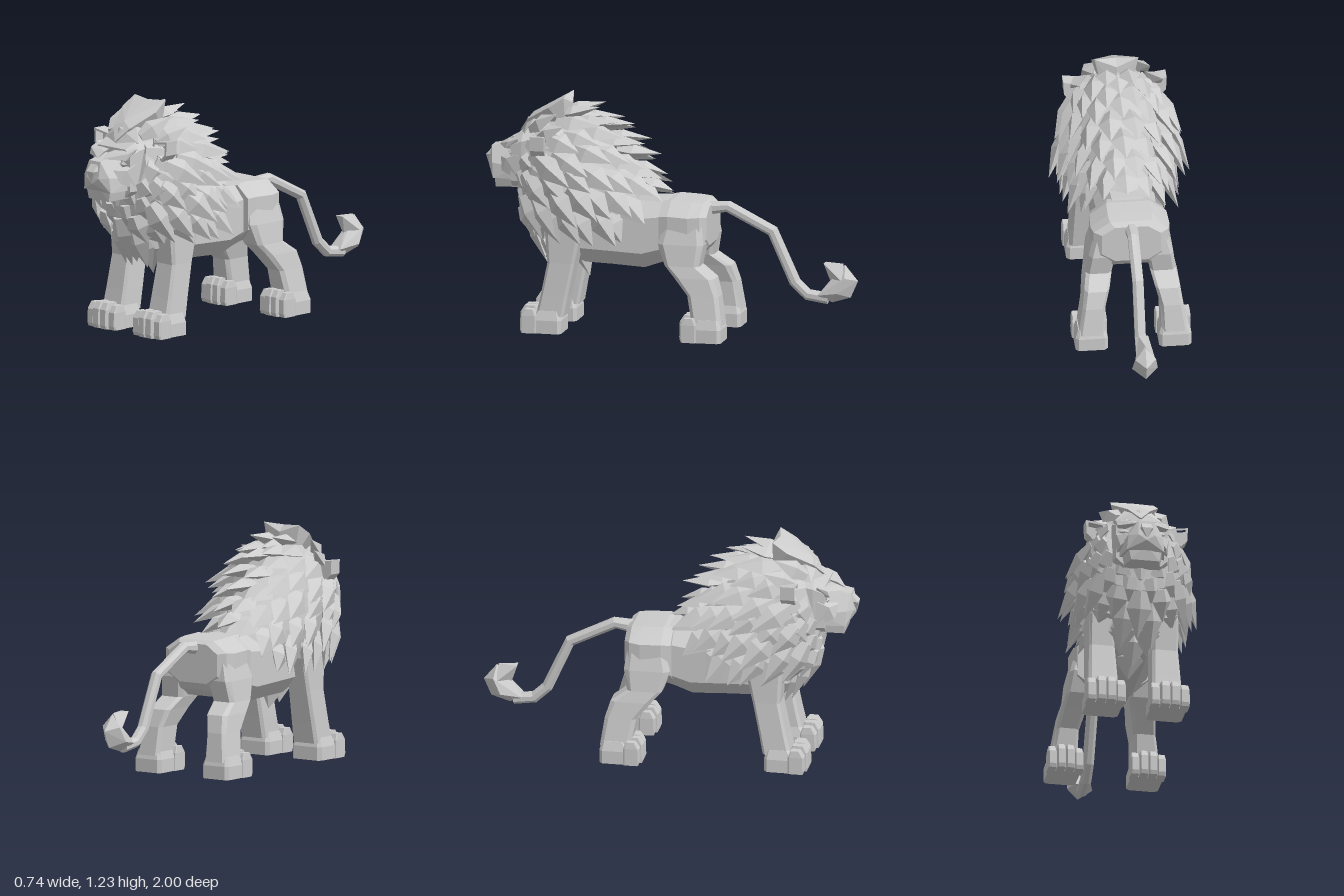
import * as THREE from 'three';
import { mergeGeometries } from 'three/addons/utils/BufferGeometryUtils.js';
import { ConvexGeometry } from 'three/addons/geometries/ConvexGeometry.js';

const V = (x, y, z) => new THREE.Vector3(x, y, z);

// Closed skin over rings of Vector3 with equal counts; turned outward by its signed volume.
function loft(rings) {
  const n = rings[0].length, tris = [];
  for (let i = 0; i < rings.length - 1; i++) {
    for (let j = 0; j < n; j++) {
      const k = (j + 1) % n, a = rings[i], b = rings[i + 1];
      tris.push([a[j], a[k], b[k]], [a[j], b[k], b[j]]);
    }
  }
  const first = rings[0], last = rings[rings.length - 1];
  for (let j = 1; j < n - 1; j++) tris.push([first[0], first[j + 1], first[j]], [last[0], last[j], last[j + 1]]);
  let volume = 0;
  for (const [a, b, c] of tris) volume += a.dot(b.clone().cross(c));
  const pts = tris.flatMap(([a, b, c]) => (volume < 0 ? [a, c, b] : [a, b, c]));
  const g = new THREE.BufferGeometry().setFromPoints(pts);
  g.computeVertexNormals();
  return g;
}

// Chamfered rectangle as eight [u, v] points.
function oct(u0, u1, v0, v1, k) {
  const a = (u1 - u0) * k, b = (v1 - v0) * k;
  return [[u0 + a, v0], [u1 - a, v0], [u1, v0 + b], [u1, v1 - b], [u1 - a, v1], [u0 + a, v1], [u0, v1 - b], [u0, v0 + b]];
}

// Sections along z: [z, halfWidth, y0, y1]
const loftZ = (rows, k) => loft(rows.map(([z, w, y0, y1]) => oct(-w, w, y0, y1, k).map(([x, y]) => V(x, y, z))));
// Sections along y: [y, x0, x1, z0, z1], mirrored by side s
const loftY = (rows, s, k) => loft(rows.map(([y, x0, x1, z0, z1]) => oct(x0, x1, z0, z1, k).map(([x, z]) => V(s * x, y, z))));
// Convex lump from points, mirrored by side s
const hull = (pts, s) => new ConvexGeometry(pts.map(([x, y, z]) => V(s * x, y, z)));
// Convex lump symmetric about x = 0
const symHull = (pts) => new ConvexGeometry(pts.flatMap(([x, y, z]) => [V(x, y, z), V(-x, y, z)]));

// Pointed leaf-shaped tuft starting at base and running along dir.
function lock(base, dir, out, length, width, thick) {
  const d = dir.clone().normalize();
  const n = out.clone().addScaledVector(d, -out.dot(d)).normalize();
  const side = d.clone().cross(n);
  return loft([[0, 0.5], [0.38, 1], [1, 0.02]].map(([t, scale]) =>
    [[1, 0], [0, 1], [-1, 0], [0, -1]].map(([u, v]) => base.clone().addScaledVector(d, t * length)
      .addScaledVector(side, u * scale * width).addScaledVector(n, v * scale * thick))));
}

// Mane rings: top [y, z], bottom [y, z], half width, lock count, lock length, widest lock angle
const RINGS = [
  { t: [1.08, 0.72], b: [0.76, 0.81], w: 0.18, n: 12, len: 0.18, max: 3.2 },
  { t: [1.13, 0.59], b: [0.62, 0.80], w: 0.245, n: 14, len: 0.23, max: 3.2 },
  { t: [1.09, 0.45], b: [0.52, 0.71], w: 0.275, n: 15, len: 0.24, max: 3.2 },
  { t: [0.95, 0.30], b: [0.46, 0.58], w: 0.235, n: 14, len: 0.22, max: 1.9 },
  { t: [0.80, 0.16], b: [0.46, 0.46], w: 0.175, n: 12, len: 0.18, max: 1.6 },
  { t: [0.70, 0.06], b: [0.45, 0.40], w: 0.14, max: 1.3 },
];

// Point on a mane ring at angle a from its top; the oval is a little wider low down
function ringPoint(r, a) {
  const c = Math.cos(a) / 2;
  return V(r.w * Math.sin(a) * (1 - 0.2 * c), (r.t[0] + r.b[0]) / 2 + c * (r.t[0] - r.b[0]), (r.t[1] + r.b[1]) / 2 + c * (r.t[1] - r.b[1]));
}

function maneLocks() {
  const parts = [];
  const mid = (p, q) => p.map((v, i) => (v + q[i]) / 2);
  const all = RINGS.slice(0, 5).flatMap((r, i) => {
    const q = RINGS[i + 1];
    return i < 4 ? [r, { ...r, t: mid(r.t, q.t), b: mid(r.b, q.b), w: (r.w + q.w) / 2, max: Math.min(r.max, q.max) }] : [r];
  });
  all.forEach((r, i) => {
    const up = V(0, r.t[0] - r.b[0], r.t[1] - r.b[1]);
    const h = up.length() / 2;
    up.normalize();
    const back = V(0, up.z, -up.y);
    for (let j = 0; j < r.n; j++) {
      let a = ((j + (i % 2) / 2) / r.n) * Math.PI * 2;
      if (a > Math.PI + 0.001) a -= Math.PI * 2;
      if (Math.abs(a) > r.max) continue;
      const out = V(h * Math.sin(a), 0, 0).addScaledVector(up, r.w * Math.cos(a)).normalize();
      const vary = Math.sin(Math.abs(a) * 7 + i * 2.3);
      const dir = back.clone().multiplyScalar(0.8).addScaledVector(out, 0.36 + 0.05 * vary);
      dir.y -= 0.36 * (1 - Math.cos(a));
      dir.normalize();
      const base = ringPoint(r, a);
      let length = r.len * (1 + 0.1 * vary);
      // Tufts over the shoulders stop above the legs
      if (Math.abs(base.x) > 0.1 && base.y + dir.y * length < 0.49) length = (0.49 - base.y) / dir.y;
      if (length > 0.07) parts.push(lock(base, dir, out, length, 0.068, 0.036));
    }
  });
  // Chest tufts reaching down between the front legs
  for (const [x, y, z, len] of [[0, 0.50, 0.60, 0.22], [0.07, 0.52, 0.64, 0.18], [-0.07, 0.52, 0.64, 0.18], [0, 0.45, 0.50, 0.19]]) {
    parts.push(lock(V(x, y, z), V(0, -1, -0.3), V(x, 0, 1), len, 0.085, 0.055));
  }
  // Swept tufts beside the crest and flicks behind it
  for (const s of [1, -1]) {
    parts.push(lock(V(s * 0.11, 1.06, 0.74), V(s * 0.35, 0.5, -0.8), V(s, 1, 0.5), 0.2, 0.055, 0.035));
    parts.push(lock(V(s * 0.17, 1.03, 0.68), V(s * 0.4, 0.4, -0.8), V(s, 1, 0.3), 0.18, 0.055, 0.035));
    parts.push(lock(V(s * 0.05, 1.13, 0.60), V(s * 0.1, 0.25, -1), V(0, 1, 0), 0.23, 0.06, 0.035));
  }
  return mergeGeometries(parts);
}

// Paw: sole block with four toes; f is the front z, x0..x1 the width
function paw(x0, x1, f, s) {
  const parts = [loftY([[0, x0 + 0.01, x1 - 0.01, f - 0.23, f - 0.06], [0.07, x0 + 0.01, x1 - 0.01, f - 0.23, f - 0.06],
    [0.12, x0 + 0.025, x1 - 0.025, f - 0.215, f - 0.1]], s, 0.1)];
  const step = (x1 - x0) / 4;
  for (let i = 0; i < 4; i++) {
    const a = x0 + i * step + 0.002, b = a + step - 0.004, inner = i === 1 || i === 2;
    const front = inner ? f : f - 0.012, top = inner ? 0.138 : 0.128;
    parts.push(loftY([[0, a, b, f - 0.1, front - 0.008], [0.02, a, b, f - 0.1, front], [top - 0.035, a, b, f - 0.1, front - 0.003],
      [top, a + 0.004, b - 0.004, f - 0.085, front - 0.025]], s, 0.1));
  }
  return mergeGeometries(parts);
}

export function createModel() {
  const model = new THREE.Group();
  const stone = new THREE.MeshStandardMaterial({ color: 0xcccccc, flatShading: true });
  stone.name = 'light grey';
  const add = (name, geometry) => {
    const m = new THREE.Mesh(geometry, stone);
    m.name = name;
    model.add(m);
  };

  // Trunk and hindquarters
  add('body', loftZ([[0.60, 0.17, 0.42, 0.74], [0.45, 0.165, 0.36, 0.72], [0.30, 0.165, 0.355, 0.71],
    [0.13, 0.16, 0.345, 0.705], [0.03, 0.155, 0.38, 0.71], [-0.05, 0.15, 0.40, 0.71]], 0.24));
  add('hindquarters', loftZ([[0.03, 0.188, 0.41, 0.705], [-0.02, 0.203, 0.40, 0.715], [-0.13, 0.208, 0.40, 0.71],
    [-0.19, 0.197, 0.44, 0.705], [-0.22, 0.155, 0.48, 0.687]], 0.22));

  // Legs and paws
  for (const s of [1, -1]) {
    const tag = s > 0 ? 'left' : 'right';
    add(tag + 'FrontLeg', loftY([[0.66, 0.09, 0.22, 0.45, 0.63], [0.55, 0.10, 0.238, 0.435, 0.635], [0.375, 0.10, 0.238, 0.475, 0.62],
      [0.20, 0.093, 0.245, 0.51, 0.655], [0.09, 0.09, 0.25, 0.53, 0.68]], s, 0.1));
    add(tag + 'FrontPaw', paw(0.065, 0.275, 0.77, s));
    add(tag + 'HindLeg', loftY([[0.61, 0.06, 0.195, -0.20, 0.0], [0.50, 0.08, 0.223, -0.215, 0.03], [0.39, 0.10, 0.237, -0.195, -0.01],
      [0.33, 0.12, 0.252, -0.28, -0.065], [0.24, 0.145, 0.265, -0.308, -0.14], [0.09, 0.148, 0.29, -0.33, -0.17]], s, 0.13));
    add(tag + 'HindPaw', paw(0.125, 0.315, -0.10, s));
  }

  // Tail with curled tuft
  const pts = [[0.66, -0.18], [0.675, -0.30], [0.555, -0.54], [0.29, -0.66], [0.225, -0.73], [0.21, -0.84]].map(([y, z]) => V(0, y, z));
  add('tail', loft(pts.map((p, i) => {
    const d = pts[Math.min(i + 1, 5)].clone().sub(pts[Math.max(i - 1, 0)]).normalize();
    const up = V(0, -d.z, d.y), r = i === 0 ? 0.038 : 0.031;
    return Array.from({ length: 8 }, (_, j) => {
      const a = (j + 0.5) * Math.PI / 4;
      return p.clone().addScaledVector(up, r * Math.sin(a)).add(V(r * Math.cos(a), 0, 0));
    });
  })));
  add('tailTuft', mergeGeometries([
    symHull([[0.04, 0.23, -0.79], [0, 0.19, -0.86], [0.068, 0.25, -0.90], [0.055, 0.33, -0.94], [0, 0.31, -1.0], [0, 0.22, -0.96], [0, 0.395, -0.93], [0, 0.32, -0.86]]),
    symHull([[0.055, 0.31, -0.93], [0.025, 0.40, -0.82], [0, 0.40, -0.92], [0, 0.28, -0.86]]),
  ]));

  // Mane
  add('maneCore', loft(RINGS.map((r) => Array.from({ length: 12 }, (_, j) => ringPoint(r, j * Math.PI / 6)))));
  add('maneLocks', maneLocks());
  add('crest', mergeGeometries([
    symHull([[0, 1.02, 0.81], [0.13, 1.03, 0.77], [0.07, 1.11, 0.73], [0, 1.10, 0.78], [0.1, 1.04, 0.55]]),
    ...[1, -1].map((s) => hull([[0, 1.03, 0.82], [0.06, 1.10, 0.77], [0.125, 1.18, 0.64], [0.115, 1.232, 0.56], [0, 1.13, 0.75],
      [0, 1.225, 0.58], [0, 1.19, 0.54], [0.08, 1.06, 0.56], [0, 1.06, 0.54]], s)),
  ]));

  // Head
  add('skull', loftZ([[0.55, 0.13, 0.80, 1.06], [0.78, 0.147, 0.745, 1.035], [0.84, 0.137, 0.75, 1.005]], 0.13));
  add('muzzle', symHull([[0.05, 0.98, 0.80], [0.042, 0.948, 0.965], [0.125, 0.85, 0.80], [0.092, 0.865, 0.95],
    [0.125, 0.79, 0.80], [0.10, 0.785, 0.945], [0, 0.83, 0.985], [0.045, 0.86, 0.982]]));
  add('jaw', symHull([[0.12, 0.82, 0.78], [0.09, 0.805, 0.94], [0, 0.82, 0.955], [0.075, 0.735, 0.935], [0.105, 0.745, 0.78]]));
  add('nose', symHull([[0.035, 0.90, 0.965], [0.028, 0.895, 1.0], [0, 0.84, 0.99], [0.025, 0.935, 0.965]]));
  for (const s of [1, -1]) {
    const tag = s > 0 ? 'left' : 'right';
    add(tag + 'Brow', hull([[0.015, 0.955, 0.93], [0.015, 0.985, 0.88], [0.135, 0.955, 0.87], [0.147, 1.01, 0.80],
      [0.14, 0.99, 0.855], [0.03, 1.0, 0.80], [0.12, 0.95, 0.80]], s));
    add(tag + 'Cheek', hull([[0.147, 0.93, 0.80], [0.138, 0.90, 0.865], [0.06, 0.90, 0.92], [0.122, 0.83, 0.89], [0.145, 0.79, 0.79], [0.05, 0.85, 0.80]], s));
    add(tag + 'Eye', new THREE.OctahedronGeometry(1, 0).scale(0.034, 0.018, 0.012).translate(s * 0.095, 0.928, 0.85));

    // Cupped ear: rim with a recessed back plate
    const outline = [[0.272, 1.05], [0.268, 0.975], [0.235, 0.94], [0.16, 0.98], [0.17, 1.035]].map(([x, y]) => new THREE.Vector2(s * x, y));
    const centre = new THREE.Vector2(s * 0.222, 1.0);
    const rim = new THREE.Shape(outline);
    rim.holes.push(new THREE.Path(outline.map((p) => p.clone().lerp(centre, 0.25))));
    const rimGeo = new THREE.ExtrudeGeometry(rim, { depth: 0.05, bevelEnabled: false }).translate(0, 0, 0.655);
    const plate = new THREE.ExtrudeGeometry(new THREE.Shape(outline), { depth: 0.025, bevelEnabled: false }).translate(0, 0, 0.63);
    add(tag + 'Ear', mergeGeometries([rimGeo, plate]));
  }
  return model;
}
